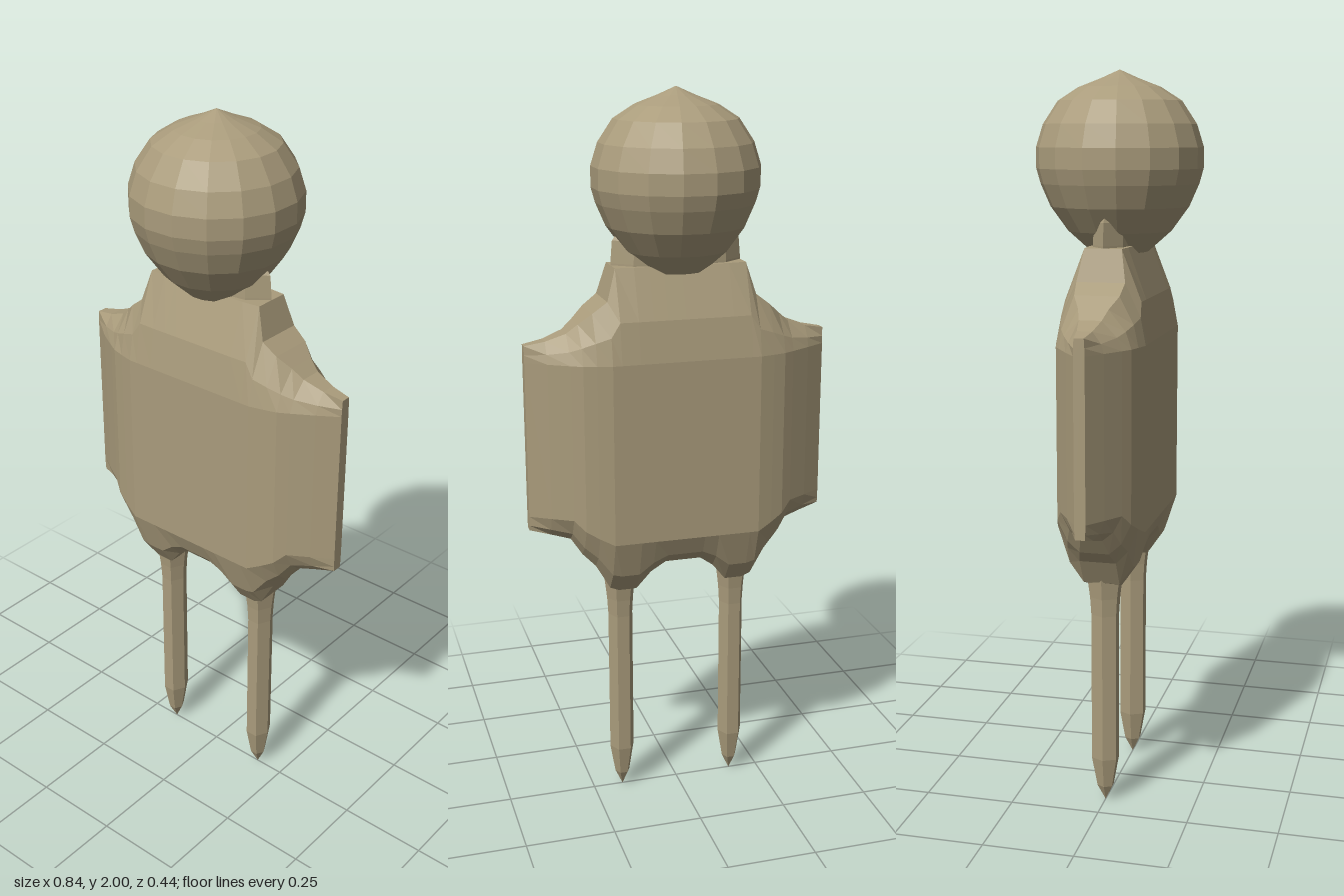
import * as THREE from 'three';

const clay = new THREE.MeshStandardMaterial({ color: 0xaa9c7c, flatShading: true });
clay.name = 'clay';

// Torso stations: x, top y, top half depth, half depth, lower y, bottom y, bottom half depth
const HALF = [
  [0, 1.545, 0.055, 0.12, 0.80, 0.72, 0.07],
  [0.05, 1.545, 0.055, 0.12, 0.80, 0.72, 0.07],
  [0.09, 1.545, 0.055, 0.12, 0.80, 0.69, 0.06],
  [0.13, 1.545, 0.055, 0.12, 0.80, 0.64, 0.05],
  [0.18, 1.545, 0.05, 0.12, 0.80, 0.64, 0.05],
  [0.205, 1.46, 0.065, 0.12, 0.80, 0.65, 0.05],
  [0.245, 1.43, 0.06, 0.11, 0.82, 0.72, 0.05],
  [0.28, 1.40, 0.04, 0.10, 0.84, 0.755, 0.04],
  [0.31, 1.375, 0.03, 0.083, 0.87, 0.80, 0.03],
  [0.365, 1.355, 0.02, 0.05, 0.87, 0.815, 0.02],
  [0.42, 1.345, 0.013, 0.015, 0.87, 0.83, 0.013],
];

const mix = THREE.MathUtils.lerp;

// Closed cross-section: down the front, then up the back
function section([x, top, topHalf, half, low, bottom, bottomHalf]) {
  const front = [
    [top, topHalf],
    [mix(top, 1.3, 0.55), mix(topHalf, half, 0.75)],
    [1.3, half],
    [low, half],
    [mix(low, bottom, 0.65), mix(half, bottomHalf, 0.45)],
    [bottom, bottomHalf],
  ];
  const back = front.map(([y, z]) => [y, -z]).reverse();
  return [...front, ...back].map(([y, z]) => [x, y, z]);
}

// Skin a list of rings running along +x and cap both ends
function loft(rings) {
  const n = rings[0].length;
  const last = (rings.length - 1) * n;
  const index = [];
  for (let s = 0; s < rings.length - 1; s++) {
    for (let j = 0; j < n; j++) {
      const k = (j + 1) % n;
      const a = s * n + j, d = s * n + k, b = a + n, c = d + n;
      index.push(a, d, c, a, c, b);
    }
  }
  for (let j = 1; j < n - 1; j++) {
    index.push(0, j + 1, j, last, last + j, last + j + 1);
  }
  const geo = new THREE.BufferGeometry();
  geo.setAttribute('position', new THREE.Float32BufferAttribute(rings.flat(2), 3));
  geo.setIndex(index);
  geo.computeVertexNormals();
  return geo;
}

const lathe = (points, sides) =>
  new THREE.LatheGeometry(points.map(([r, y]) => new THREE.Vector2(r, y)), sides);

export function createModel() {
  const model = new THREE.Group();
  model.name = 'figure';
  const add = (name, geo) => {
    const mesh = new THREE.Mesh(geo, clay);
    mesh.name = name;
    model.add(mesh);
    return mesh;
  };

  // Flattened torso with thin fin-like sides
  const left = HALF.slice(1).reverse().map(([x, ...rest]) => [-x, ...rest]);
  add('torso', loft([...left, ...HALF].map(section)));

  // Wide, flat neck
  const neck = lathe([[0.18, 1.51], [0.18, 1.55], [0.175, 1.61], [0.13, 1.67]], 8);
  neck.rotateY(Math.PI / 2).scale(1, 1, 0.32);
  add('neck', neck);

  // Faceted round head with a slight peak
  const head = lathe([
    [0, 1.51], [0.078, 1.525], [0.14, 1.58], [0.187, 1.645], [0.213, 1.705], [0.224, 1.745],
    [0.224, 1.8], [0.205, 1.86], [0.165, 1.92], [0.11, 1.955], [0.05, 1.978], [0, 2],
  ], 16);
  head.rotateY(Math.PI / 16);
  add('head', head);

  // Slim pointed legs, flared where they meet the torso
  for (const [name, side] of [['leftLeg', 1], ['rightLeg', -1]]) {
    const leg = lathe([[0, 0], [0.021, 0.045], [0.035, 0.13], [0.035, 0.55], [0.038, 0.6], [0.045, 0.66]], 6);
    leg.rotateY(Math.PI / 2).scale(1, 1, 1.15);
    add(name, leg).position.x = 0.165 * side;
  }
  return model;
}
